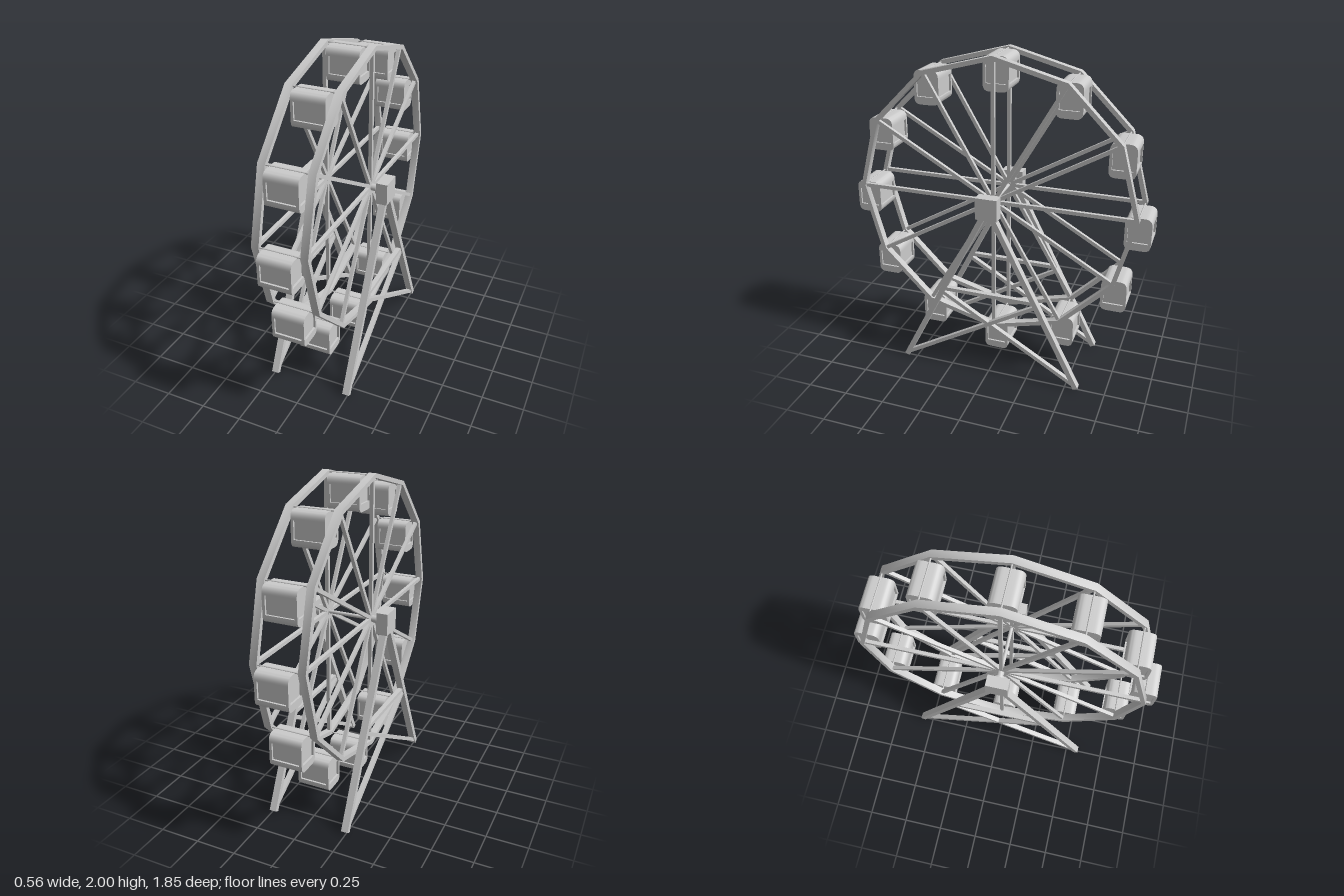
import * as THREE from 'three';
import { toCreasedNormals } from 'three/addons/utils/BufferGeometryUtils.js';

const mat = new THREE.MeshStandardMaterial({ color: 0xcccccc });
const HUB_Y = 1.1375, RIM_R = 0.8625, ROD_R = 0.85, COUNT = 12;

function add(parent, name, geo, x = 0, y = 0, z = 0) {
  const m = new THREE.Mesh(geo, mat);
  m.name = name;
  m.position.set(x, y, z);
  parent.add(m);
  return m;
}

// Square beam in a plane of constant x, between two [z, y] points
function beam(parent, name, x, a, b, depth, thick) {
  const dz = b[0] - a[0], dy = b[1] - a[1];
  const m = add(parent, name, new THREE.BoxGeometry(depth, Math.hypot(dz, dy), thick),
    x, (a[1] + b[1]) / 2, (a[0] + b[0]) / 2);
  m.rotation.x = Math.atan2(dz, dy);
  return m;
}

// Round bar along x
function rod(parent, name, radius, length, x, y, z, sides = 16) {
  return add(parent, name, new THREE.CylinderGeometry(radius, radius, length, sides).rotateZ(Math.PI / 2), x, y, z);
}

// Extrude a z-y profile along x, centred
function extrudeX(shape, width, segments = 8) {
  const g = new THREE.ExtrudeGeometry(shape, { depth: width, bevelEnabled: false, curveSegments: segments });
  return toCreasedNormals(g.translate(0, 0, -width / 2).rotateY(Math.PI / 2), 0.6);
}

// Slab from y0 to y1 whose two corners at y1 are rounded
function capShape(half, y0, y1, r) {
  const s = new THREE.Shape(), k = Math.sign(y1 - y0) * r;
  s.moveTo(-half, y0);
  s.lineTo(half, y0);
  s.lineTo(half, y1 - k);
  s.quadraticCurveTo(half, y1, half - r, y1);
  s.lineTo(-half + r, y1);
  s.quadraticCurveTo(-half, y1, -half, y1 - k);
  s.closePath();
  return s;
}

function ringShape(outer, inner) {
  const pts = r => Array.from({ length: COUNT }, (_, i) => {
    const a = i * Math.PI * 2 / COUNT;
    return new THREE.Vector2(Math.cos(a) * r, Math.sin(a) * r);
  });
  const s = new THREE.Shape(pts(outer));
  s.holes.push(new THREE.Path(pts(inner)));
  return s;
}

// Gondola hanging below its rod, with recessed window panels on four sides
const roofGeo = extrudeX(capShape(0.077, -0.053, 0, 0.045), 0.2);
const floorGeo = extrudeX(capShape(0.077, -0.157, -0.203, 0.04), 0.2);
const panelGeo = new THREE.BoxGeometry(0.176, 0.12, 0.13);
const postGeo = new THREE.BoxGeometry(0.016, 0.104, 0.017);
function makeGondola() {
  const g = new THREE.Group();
  g.name = 'gondola';
  add(g, 'gondolaRoof', roofGeo);
  add(g, 'gondolaFloor', floorGeo);
  add(g, 'windowPanels', panelGeo, 0, -0.105, 0);
  for (const sx of [-1, 1]) for (const sz of [-1, 1])
    add(g, 'cornerPost', postGeo, sx * 0.092, -0.105, sz * 0.0685);
  return g;
}

export function createModel() {
  const model = new THREE.Group();
  model.name = 'ferrisWheel';
  const wheel = new THREE.Group();
  wheel.name = 'wheel';
  model.add(wheel);

  // Rims and spokes
  const rimGeo = extrudeX(ringShape(RIM_R, RIM_R - 0.027), 0.045);
  for (const s of [-1, 1]) {
    add(wheel, 'rim', rimGeo, s * 0.1435, HUB_Y, 0);
    for (let i = 0; i < COUNT; i++) {
      const a = i * Math.PI * 2 / COUNT;
      beam(wheel, 'spoke', s * 0.1435, [0, HUB_Y],
        [Math.cos(a) * 0.845, HUB_Y + Math.sin(a) * 0.845], 0.022, 0.022);
    }
  }

  // Cross rods with hanging gondolas
  for (let i = 0; i < COUNT; i++) {
    const a = i * Math.PI * 2 / COUNT;
    const y = HUB_Y + Math.sin(a) * ROD_R, z = Math.cos(a) * ROD_R;
    rod(wheel, 'crossRod', 0.005, 0.26, 0, y, z, 8);
    const g = makeGondola();
    g.position.set(0, y, z);
    wheel.add(g);
  }

  // Axle
  rod(wheel, 'axle', 0.011, 0.4, 0, HUB_Y, 0);

  // Side supports
  for (const s of [-1, 1]) {
    const support = new THREE.Group();
    support.name = 'support';
    model.add(support);
    const x = s * 0.2425;
    rod(support, 'axleStub', 0.021, 0.08, s * 0.17, HUB_Y, 0);
    rod(support, 'axleCollar', 0.036, 0.03, s * 0.203, HUB_Y, 0, 20);
    add(support, 'bearingBlock', new THREE.BoxGeometry(0.07, 0.134, 0.134), x, HUB_Y, 0);
    for (const k of [-1, 1]) {
      beam(support, 'leg', x, [k * 0.57, 0.008], [0, HUB_Y], 0.043, 0.032);
      beam(support, 'diagonalBrace', x, [k * 0.57, 0.018], [-k * 0.3, 0.53], 0.03, 0.023);
    }
    beam(support, 'crossBrace', x, [-0.29, 0.555], [0.29, 0.555], 0.03, 0.023);
  }
  return model;
}
